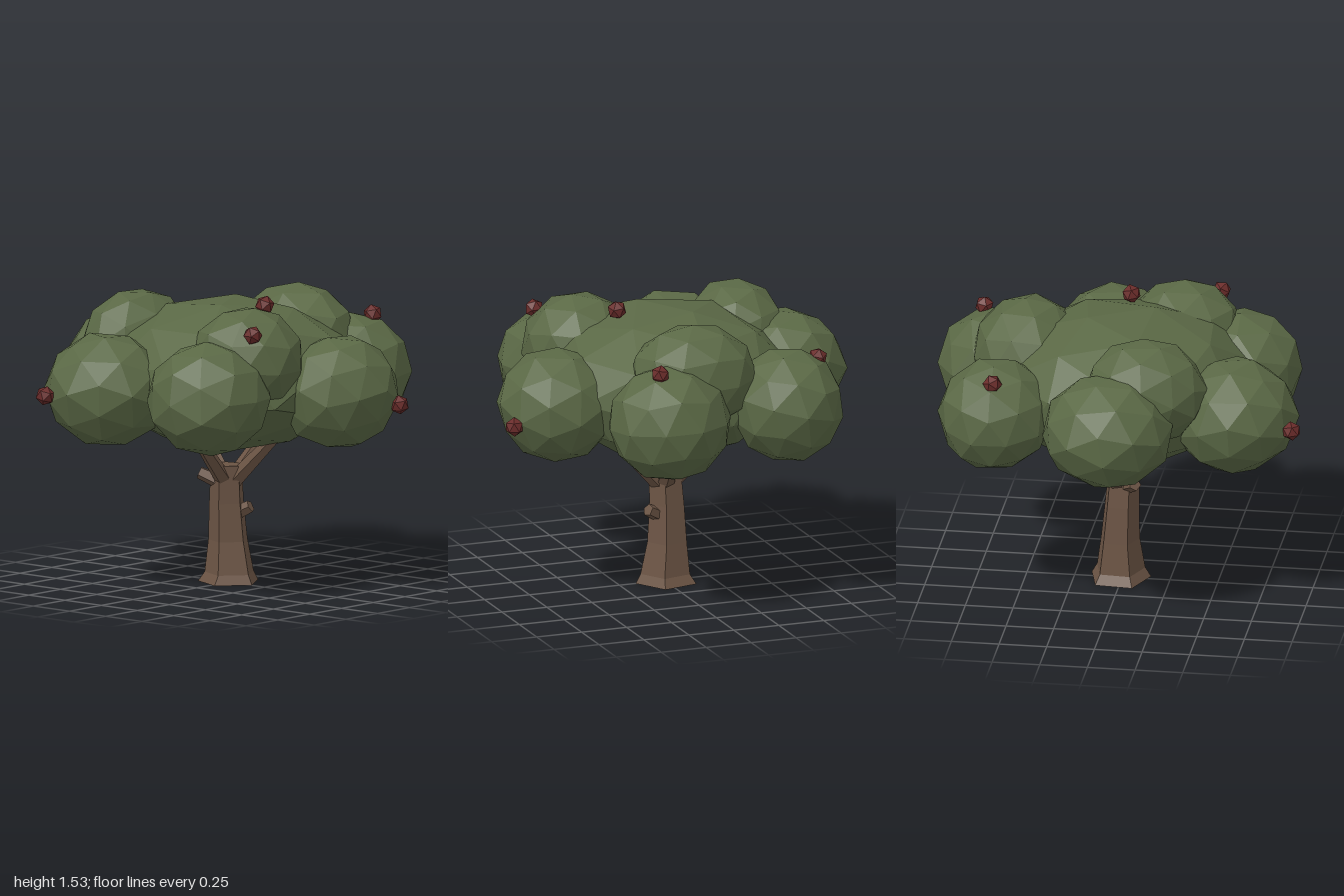
import * as THREE from 'three';

const flat = (name, color) => {
  const m = new THREE.MeshStandardMaterial({ color, flatShading: true });
  m.name = name;
  return m;
};

// Faceted ellipsoid, turned and slightly dented by a seeded rule
function blobGeometry(seed, rx, ry, rz) {
  const g = new THREE.IcosahedronGeometry(1, 1);
  g.rotateX(seed * 1.3).rotateY(seed * 2.1);
  const p = g.attributes.position;
  const v = new THREE.Vector3();
  for (let i = 0; i < p.count; i++) {
    v.fromBufferAttribute(p, i);
    const dent = Math.sin(v.x * 5 + seed) * Math.sin(v.y * 4 + seed * 2) * Math.cos(v.z * 5 - seed);
    v.multiplyScalar(1 + 0.035 * dent);
    p.setXYZ(i, v.x * rx, v.y * ry, v.z * rz);
  }
  g.computeVertexNormals();
  return g;
}

// Five-sided tapered limb between two points
function limb(name, from, to, r0, r1, material) {
  const a = new THREE.Vector3(...from);
  const b = new THREE.Vector3(...to);
  const mesh = new THREE.Mesh(new THREE.CylinderGeometry(r1, r0, a.distanceTo(b), 5), material);
  mesh.position.copy(a).lerp(b, 0.5);
  mesh.quaternion.setFromUnitVectors(new THREE.Vector3(0, 1, 0), b.clone().sub(a).normalize());
  mesh.name = name;
  return mesh;
}

// Five-sided trunk lofted through rings of [y, radius, x, z]
function trunkGeometry() {
  const rings = [[0, 0.166, 0.015, -0.005], [0.05, 0.135, 0.015, 0], [0.22, 0.108, 0.015, -0.01],
    [0.42, 0.095, 0.005, -0.012], [0.62, 0.086, -0.005, -0.005]];
  const pos = [];
  const idx = [];
  rings.forEach(([y, r, x, z]) => {
    for (let i = 0; i < 5; i++) {
      const t = i / 5 * Math.PI * 2 - 0.08;
      pos.push(x + Math.sin(t) * r, y, z + Math.cos(t) * r);
    }
  });
  for (let k = 0; k < rings.length - 1; k++) {
    for (let i = 0; i < 5; i++) {
      const a = k * 5 + i;
      const b = k * 5 + (i + 1) % 5;
      idx.push(a, b, b + 5, a, b + 5, a + 5);
    }
  }
  // End caps
  const top = (rings.length - 1) * 5;
  for (let i = 1; i < 4; i++) idx.push(0, i + 1, i, top, top + i, top + i + 1);
  const g = new THREE.BufferGeometry();
  g.setAttribute('position', new THREE.Float32BufferAttribute(pos, 3));
  g.setIndex(idx);
  const out = g.toNonIndexed();
  out.computeVertexNormals();
  return out;
}

export function createModel() {
  const tree = new THREE.Group();
  tree.name = 'tree';
  const bark = flat('bark', 0x6b5444);
  const leaf = flat('leaf', 0x5a6845);
  const red = flat('fruit red', 0x6a2c2a);

  // Trunk, branches and cut stubs
  const trunk = new THREE.Mesh(trunkGeometry(), bark);
  trunk.name = 'trunk';
  tree.add(trunk);
  const tips = [[0.3, 0.82, 0.05], [0.06, 0.82, 0.31], [-0.29, 0.82, 0.02], [0.12, 0.82, -0.31]];
  tips.forEach(([x, y, z]) => {
    tree.add(limb('branch', [x * 0.12, 0.54, z * 0.12], [x, y, z], 0.046, 0.03, bark));
  });
  tree.add(limb('frontStub', [0.02, 0.36, 0.03], [0.05, 0.405, 0.11], 0.038, 0.034, bark));
  tree.add(limb('backStub', [-0.03, 0.53, -0.04], [-0.085, 0.575, -0.125], 0.04, 0.034, bark));

  // Canopy: a broad core, a ring of low clumps and three upper clumps [x, y, z, rx, ry, rz]
  const canopy = new THREE.Group();
  canopy.name = 'canopy';
  const clumps = [
    [0.0, 1.1, 0.0, 0.69, 0.4, 0.67],
    [-0.02, 1.09, -0.66, 0.345, 0.3, 0.335],
    [0.6, 1.065, -0.45, 0.3, 0.3, 0.3],
    [0.69, 1.06, 0.24, 0.31, 0.305, 0.325],
    [0.13, 1.055, 0.65, 0.325, 0.3, 0.315],
    [-0.57, 1.07, 0.365, 0.325, 0.3, 0.325],
    [-0.63, 1.06, -0.28, 0.33, 0.3, 0.34],
    [0.5, 1.24, 0.03, 0.29, 0.28, 0.34],
    [-0.27, 1.24, 0.37, 0.31, 0.28, 0.3],
    [-0.19, 1.24, -0.465, 0.32, 0.28, 0.265],
  ];
  clumps.forEach(([x, y, z, rx, ry, rz], i) => {
    const m = new THREE.Mesh(blobGeometry(i + 1, rx, ry, rz), leaf);
    m.position.set(x, y, z);
    m.name = i === 0 ? 'canopyCore' : i < 7 ? 'lowerClump' : 'upperClump';
    canopy.add(m);
  });
  tree.add(canopy);

  // Fruit resting on the leaves
  const fruitGeometry = new THREE.IcosahedronGeometry(0.051, 0);
  const fruits = [[-0.44, 1.41, 0.555], [-0.01, 1.485, 0.26], [0.77, 1.35, 0.32],
    [0.275, 1.0, 0.94], [-0.95, 1.05, -0.43], [0.59, 1.3, -0.625]];
  fruits.forEach((p, i) => {
    const m = new THREE.Mesh(fruitGeometry, red);
    m.position.set(...p);
    m.rotation.set(i * 0.7, i * 1.1, 0);
    m.name = 'fruit';
    tree.add(m);
  });
  return tree;
}
